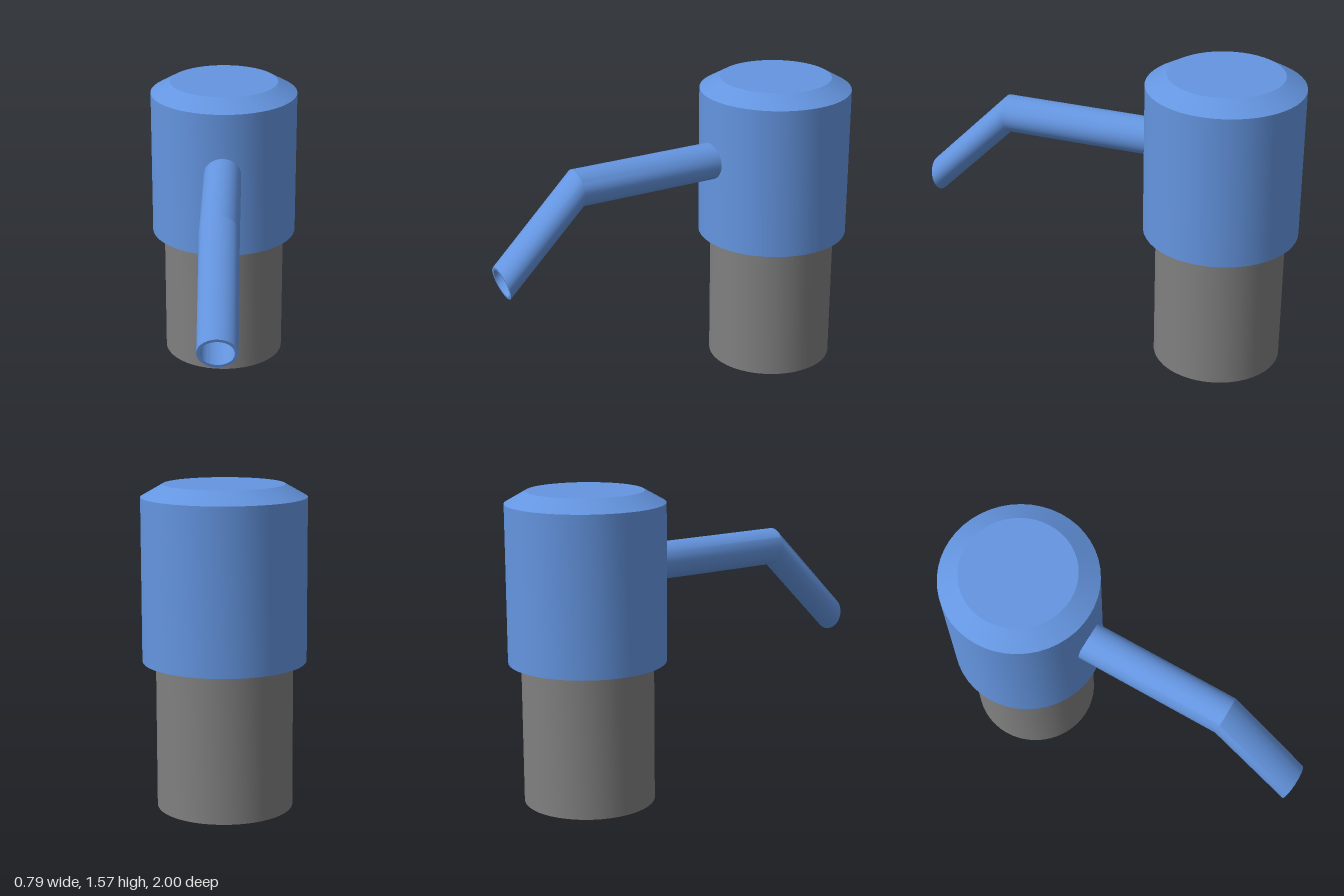
import * as THREE from 'three';
import { toCreasedNormals } from 'three/addons/utils/BufferGeometryUtils.js';

const SIDES = 48;
const AXIS_Z = -0.605;

// Closed turned solid from [radius, height] pairs, listed bottom to top
function turned(name, profile, material) {
  const points = profile.map(([r, y]) => new THREE.Vector2(r, y));
  const geometry = toCreasedNormals(new THREE.LatheGeometry(points, SIDES), 0.4);
  const mesh = new THREE.Mesh(geometry, material);
  mesh.name = name;
  mesh.position.z = AXIS_Z;
  return mesh;
}

// Skin over elliptical rings; each ring gives its half width, top and bottom point as [z, y]
function loft(rings) {
  const positions = [];
  const index = [];
  for (const { halfWidth, top, bottom } of rings) {
    for (let j = 0; j < SIDES; j++) {
      const a = (j / SIDES) * Math.PI * 2;
      const t = (1 + Math.sin(a)) / 2;
      positions.push(
        halfWidth * Math.cos(a),
        THREE.MathUtils.lerp(bottom[1], top[1], t),
        THREE.MathUtils.lerp(bottom[0], top[0], t)
      );
    }
  }
  for (let i = 0; i < rings.length - 1; i++) {
    for (let j = 0; j < SIDES; j++) {
      const k = (j + 1) % SIDES;
      const a = i * SIDES + j, b = i * SIDES + k;
      const c = b + SIDES, d = a + SIDES;
      index.push(a, b, c, a, c, d);
    }
  }
  const geometry = new THREE.BufferGeometry();
  geometry.setAttribute('position', new THREE.Float32BufferAttribute(positions, 3));
  geometry.setIndex(index);
  return toCreasedNormals(geometry, 0.5);
}

// Shrinks a ring about its centre to get the bore
function shrink({ halfWidth, top, bottom }, s) {
  const mix = (p, q) => p.map((v, i) => (v + q[i]) / 2 + ((v - q[i]) / 2) * s);
  return { halfWidth: halfWidth * s, top: mix(top, bottom), bottom: mix(bottom, top) };
}

export function createModel() {
  const group = new THREE.Group();
  const blue = new THREE.MeshStandardMaterial({ color: 0x6495e0 });
  const grey = new THREE.MeshStandardMaterial({ color: 0x808080 });
  const blueOpen = blue.clone();
  blueOpen.side = THREE.DoubleSide;

  // Neck below the head
  group.add(turned('neck', [[0, 0], [0.33, 0], [0.33, 0.73], [0, 0.73]], grey));

  // Pump head with chamfered top
  group.add(turned('pumpHead',
    [[0, 0.72], [0.395, 0.72], [0.395, 1.51], [0.29, 1.57], [0, 1.57]], blue));

  // Hollow bent spout: outer skin to the tip, then back along the bore
  const outer = [
    { halfWidth: 0.098, top: [-0.27, 1.27], bottom: [-0.27, 1.08] },
    { halfWidth: 0.098, top: [0.568, 1.27], bottom: [0.541, 1.08] },
    { halfWidth: 0.098, top: [1.0, 0.838], bottom: [0.954, 0.67] },
  ];
  const bore = outer.map((ring) => shrink(ring, 0.83)).reverse();
  const spout = new THREE.Mesh(loft([...outer, ...bore]), blueOpen);
  spout.name = 'spout';
  group.add(spout);

  return group;
}
